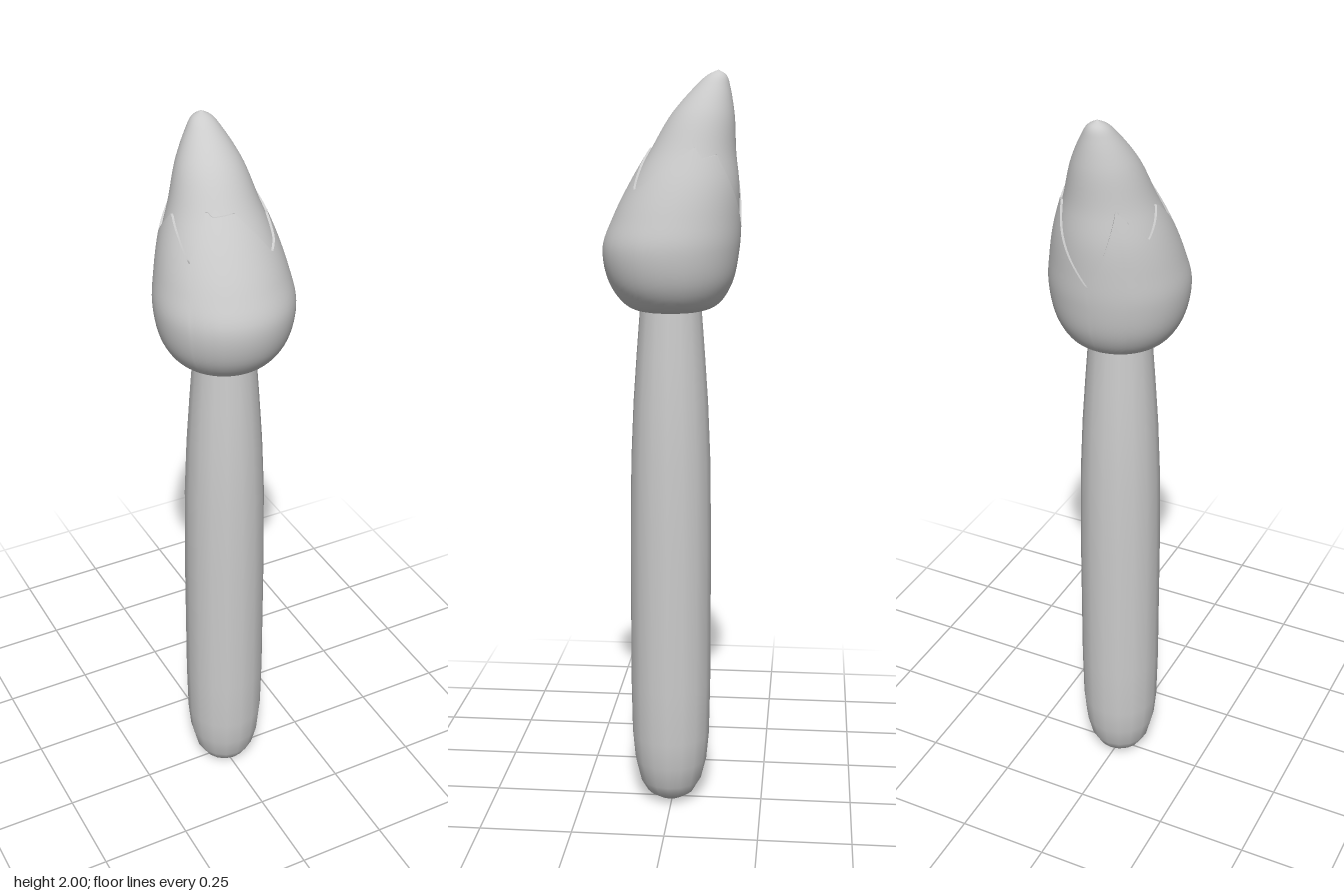
import * as THREE from 'three';

const material = new THREE.MeshStandardMaterial({ color: 0xcccccc, side: THREE.DoubleSide });
const COLUMNS = 120;

// Head sections from bottom to tip: radius, height, depth of the section centre
const headCurve = new THREE.CatmullRomCurve3([
  [0, 1.385, 0.005], [0.085, 1.386, 0.005], [0.125, 1.405, 0.003], [0.162, 1.46, 0.005],
  [0.179, 1.55, 0.004], [0.167, 1.63, -0.012], [0.147, 1.71, -0.032], [0.119, 1.79, -0.051],
  [0.081, 1.89, -0.078], [0.047, 1.955, -0.101], [0.025, 1.986, -0.113], [0, 2, -0.117],
].map((p) => new THREE.Vector3(...p)));

// Jagged edge of the lower bristles: angle from the front in degrees, height
const edge = [
  [-180, 1.6], [-163, 1.7], [-147, 1.8], [-118, 1.72], [-86, 1.79], [-70, 1.75], [-54, 1.7],
  [-46, 1.76], [-35, 1.815], [-28, 1.8], [0, 1.805], [21, 1.75], [35, 1.7], [50, 1.72],
  [63, 1.765], [72, 1.765], [95, 1.81], [107, 1.78], [126, 1.79], [138, 1.75], [160, 1.67], [180, 1.6],
];

function edgeHeight(degrees) {
  const i = Math.max(1, edge.findIndex((p) => p[0] >= degrees));
  const [a, b] = [edge[i - 1], edge[i]];
  return THREE.MathUtils.mapLinear(degrees, a[0], b[0], a[1], b[1]);
}

// Curve parameter at which the head reaches a given height
function paramAt(y) {
  let lo = 0, hi = 1;
  for (let k = 0; k < 25; k++) {
    const mid = (lo + hi) / 2;
    if (headCurve.getPoint(mid).y < y) lo = mid; else hi = mid;
  }
  return lo;
}

function headPoint(u, degrees, inset) {
  const p = headCurve.getPoint(u);
  const t = THREE.MathUtils.degToRad(degrees);
  const r = Math.max(0, p.x - inset);
  return [r * Math.sin(t), p.y, p.z + r * Math.cos(t)];
}

// Closed-around surface of rows stacked upward; pointAt(row, degrees) gives each vertex
function shell(rows, pointAt) {
  const positions = [], index = [];
  for (let j = 0; j < rows; j++) {
    for (let i = 0; i < COLUMNS; i++) {
      positions.push(...pointAt(j, -180 + (360 * i) / COLUMNS));
      if (j === rows - 1) continue;
      const a = j * COLUMNS + i, b = j * COLUMNS + ((i + 1) % COLUMNS);
      index.push(a, b, b + COLUMNS, a, b + COLUMNS, a + COLUMNS);
    }
  }
  const geometry = new THREE.BufferGeometry();
  geometry.setAttribute('position', new THREE.Float32BufferAttribute(positions, 3));
  geometry.setIndex(index);
  geometry.computeVertexNormals();
  return geometry;
}

export function createModel() {
  const group = new THREE.Group();
  const add = (name, geometry) => {
    const mesh = new THREE.Mesh(geometry, material);
    mesh.name = name;
    group.add(mesh);
    return mesh;
  };

  // Rounded handle, narrowing towards the head
  const profile = [
    [0, 0.005], [0.035, 0.011], [0.065, 0.03], [0.085, 0.064], [0.1, 0.125], [0.107, 0.2],
    [0.11, 0.35], [0.11, 0.75], [0.107, 0.98], [0.1, 1.14], [0.091, 1.27], [0.081, 1.4],
  ].map(([r, y]) => new THREE.Vector2(r, y));
  add('handle', new THREE.LatheGeometry(profile, 16)).position.z = 0.005;

  // Lower bristles, ending in a jagged edge with a thin inward rim
  const rows = 34;
  add('lowerBristles', shell(rows + 3, (j, deg) => {
    const u = paramAt(edgeHeight(deg)) * Math.min(1, j / rows);
    return headPoint(u, deg, j === rows + 2 ? 0.016 : 0);
  }));

  // Bristle tip, slightly recessed where it enters the lower bristles
  const start = paramAt(1.52);
  add('bristleTip', shell(41, (j, deg) => {
    const u = start + (1 - start) * (j / 40);
    const y = headCurve.getPoint(u).y;
    return headPoint(u, deg, 0.006 * (1 - THREE.MathUtils.smoothstep(y, 1.78, 1.9)));
  }));

  return group;
}
